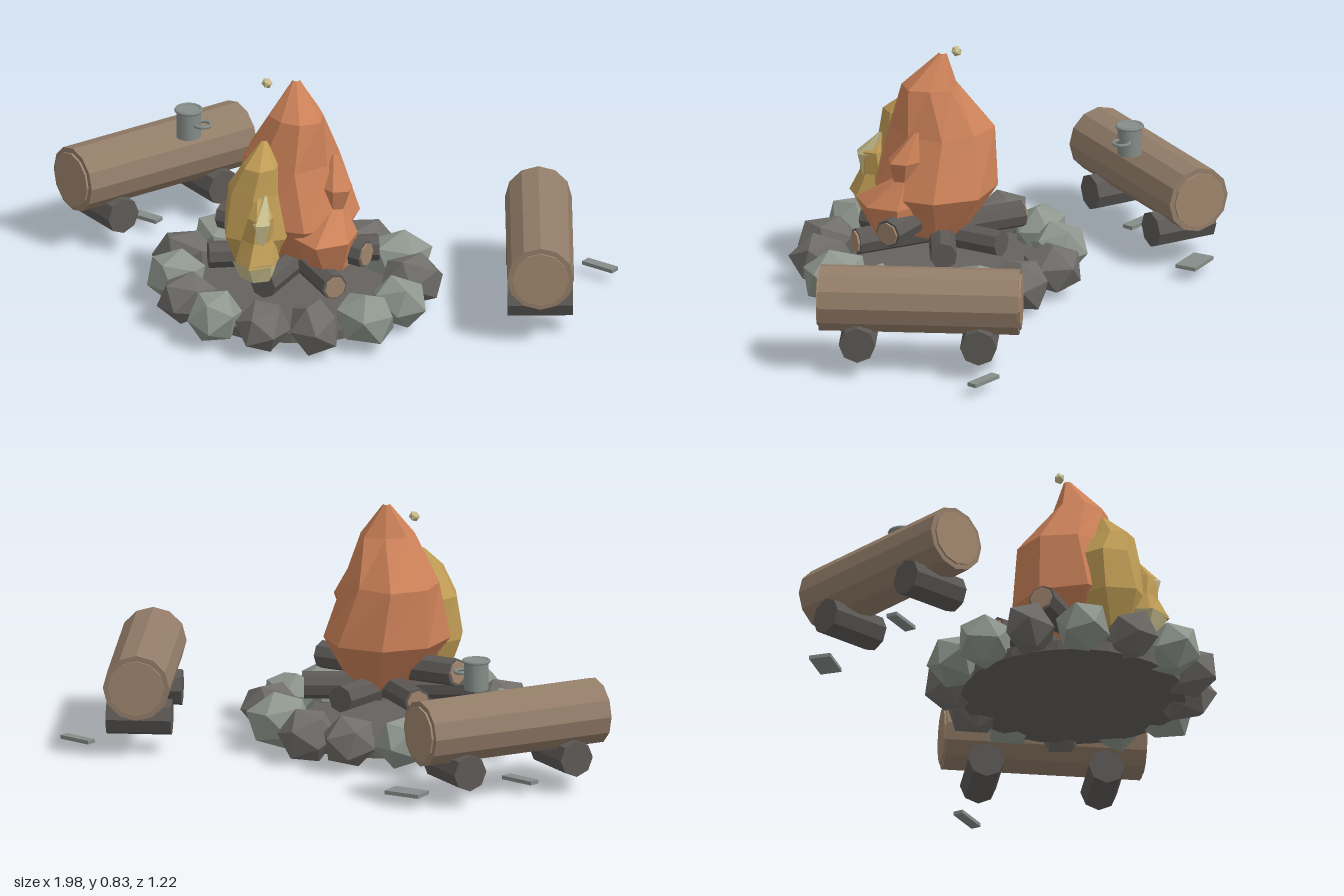
import * as THREE from 'three';

const paint = (name, hex) => {
  const m = new THREE.MeshStandardMaterial({ color: hex });
  m.name = name;
  return m;
};

// Facets a geometry so every face gets its own flat normal
function facet(geo) {
  const g = geo.index ? geo.toNonIndexed() : geo;
  g.computeVertexNormals();
  return g;
}

// Seeded pseudo-random numbers in -1..1
function seeded(seed) {
  return () => {
    seed = (seed * 16807) % 2147483647;
    return (seed / 2147483647) * 2 - 1;
  };
}

// Flame body from rings [y, centreX, centreZ, radius], bottom to top
function flameGeometry(rings, sides, wobble, seed) {
  const rnd = seeded(seed), pos = [], index = [];
  const [y0, x0, z0] = rings[0];
  const [y1, x1, z1] = rings[rings.length - 1];
  const all = [[y0, x0, z0, 0], ...rings, [y1, x1, z1, 0]];
  all.forEach(([y, cx, cz, r]) => {
    for (let j = 0; j < sides; j++) {
      const t = (j + 0.3) / sides * Math.PI * 2, k = r * (1 + wobble * rnd());
      pos.push(cx + k * Math.cos(t), y, cz + k * Math.sin(t));
    }
  });
  for (let i = 0; i < all.length - 1; i++) {
    for (let j = 0; j < sides; j++) {
      const a = i * sides + j, b = i * sides + (j + 1) % sides;
      const c = a + sides, d = b + sides;
      if (i < all.length - 2) index.push(a, c, b);
      if (i > 0) index.push(b, c, d);
      else index.push(b, c, d);
    }
  }
  const g = new THREE.BufferGeometry();
  g.setAttribute('position', new THREE.Float32BufferAttribute(pos, 3));
  g.setIndex(index);
  return facet(g);
}

export function createModel() {
  const model = new THREE.Group();
  model.name = 'campfire';

  const stoneLight = paint('light stone', 0x8f978f);
  const stoneDark = paint('dark stone', 0x706e6a);
  const ash = paint('ash', 0x65625f);
  const charred = paint('charred wood', 0x5c5956);
  const bark = paint('bark', 0x937d69);
  const cutWood = paint('cut wood', 0xa0866e);
  const orange = paint('orange flame', 0xcd8259);
  const yellow = paint('yellow flame', 0xc09d55);
  const pale = paint('pale flame', 0xc9bf8e);
  const metal = paint('metal', 0x858d89);

  const add = (name, geo, mat, parent = model) => {
    const m = new THREE.Mesh(geo, mat);
    m.name = name;
    parent.add(m);
    return m;
  };

  // Log between two points, with optional thin cut faces
  function log(name, a, b, radius, sides, mat, capRadius = 0, parent = model) {
    const p = new THREE.Vector3(...a), q = new THREE.Vector3(...b);
    const len = p.distanceTo(q);
    const group = new THREE.Group();
    group.name = name;
    group.position.copy(p).lerp(q, 0.5);
    group.quaternion.setFromUnitVectors(new THREE.Vector3(0, 1, 0), q.sub(p).normalize());
    parent.add(group);
    add(name + 'Body', facet(new THREE.CylinderGeometry(radius, radius, len, sides)), mat, group);
    if (capRadius) {
      for (const s of [-1, 1]) {
        const cap = facet(new THREE.CylinderGeometry(capRadius, capRadius, 0.008, sides));
        add(name + 'CutFace', cap, cutWood, group).position.y = s * (len / 2 + 0.003);
      }
    }
    return group;
  }

  // Ash bed
  const bed = add('ashBed', facet(new THREE.CylinderGeometry(0.38, 0.38, 0.035, 28)), ash);
  bed.position.set(0, 0.053, 0.11);

  // Ring of stones
  const rnd = seeded(77);
  const darkStones = [2, 3, 5, 7, 10, 11, 13];
  for (let i = 0; i < 14; i++) {
    const t = i / 14 * Math.PI * 2;
    const isDark = darkStones.includes(i);
    const g = new THREE.IcosahedronGeometry(1, 0);
    g.rotateX(rnd() * 3).rotateZ(rnd() * 3);
    g.scale(0.115 + 0.012 * rnd(), 0.095 + 0.008 * rnd(), 0.094 + 0.008 * rnd());
    const stone = add('ringStone', facet(g), isDark ? stoneDark : stoneLight);
    const r = 0.4 + 0.012 * rnd();
    stone.position.set(r * Math.cos(t) - 0.01, 0.1 + 0.008 * rnd(), 0.11 + r * Math.sin(t));
    stone.rotation.y = -t;
  }

  // Crossed firewood
  log('topFirewood', [-0.28, 0.28, 0.1], [0.28, 0.26, 0.13], 0.048, 8, charred, 0.04);
  log('leftFirewood', [0.24, 0.19, 0.28], [-0.24, 0.21, -0.08], 0.046, 8, charred, 0.038);
  log('rightFirewood', [-0.25, 0.2, 0.26], [0.23, 0.2, -0.06], 0.046, 8, charred);
  log('backFirewood', [0.02, 0.2, -0.16], [0.02, 0.19, 0.38], 0.046, 8, charred);

  // Flames
  add('mainFlame', flameGeometry([
    [0.2, 0.02, 0.1, 0.1], [0.36, 0.02, 0.11, 0.215], [0.56, -0.02, 0.1, 0.17],
    [0.72, 0.02, 0.125, 0.095], [0.83, -0.005, 0.09, 0.012],
  ], 8, 0.1, 11), orange);
  add('sideFlame', flameGeometry([
    [0.22, 0.17, 0.18, 0.07], [0.33, 0.16, 0.19, 0.12], [0.42, 0.17, 0.14, 0.035],
    [0.49, 0.175, 0.135, 0.058], [0.59, 0.145, 0.1, 0.008],
  ], 6, 0.12, 23), orange);
  add('yellowFlame', flameGeometry([
    [0.22, -0.06, 0.28, 0.07], [0.34, -0.06, 0.27, 0.12], [0.49, -0.07, 0.26, 0.1],
    [0.58, -0.045, 0.27, 0.065], [0.655, -0.05, 0.235, 0.008],
  ], 7, 0.1, 37), yellow);
  add('paleFlame', flameGeometry([
    [0.21, -0.01, 0.36, 0.055], [0.28, -0.015, 0.37, 0.085],
  ], 6, 0.08, 41), pale);
  add('frontFlame', flameGeometry([
    [0.27, -0.015, 0.365, 0.082], [0.35, -0.01, 0.355, 0.055], [0.43, 0, 0.36, 0.048],
    [0.49, -0.02, 0.34, 0.008],
  ], 6, 0.12, 53), yellow);
  add('flameLick', flameGeometry([
    [0.34, 0.01, 0.38, 0.02], [0.42, 0.015, 0.38, 0.038], [0.5, 0.005, 0.33, 0.004],
  ], 5, 0.1, 61), pale);
  add('spark', facet(new THREE.IcosahedronGeometry(0.019, 0)), pale).position.set(-0.11, 0.8, 0.1);

  // Two bench logs, each on a pair of short cross logs
  for (const s of [-1, 1]) {
    const bench = new THREE.Group();
    bench.name = s > 0 ? 'leftBench' : 'rightBench';
    bench.position.set(s * 0.73, 0, -0.277);
    bench.rotation.y = s * 0.49;
    model.add(bench);
    log('seatLog', [0, 0.25, -0.338], [0, 0.25, 0.338], 0.113, 12, bark, 0.095, bench);
    for (const z of [-0.205, 0.205]) {
      log('supportLog', [-0.11, 0.12, z], [0.11, 0.12, z], 0.062, 8, charred, 0, bench);
    }
  }

  // Metal mug beside the seat
  const mug = new THREE.Group();
  mug.name = 'mug';
  mug.position.set(-0.605, 0, -0.28);
  model.add(mug);
  add('mugBody', new THREE.CylinderGeometry(0.042, 0.042, 0.1, 14), metal, mug).position.y = 0.398;
  const rim = add('mugRim', new THREE.TorusGeometry(0.043, 0.006, 6, 16), metal, mug);
  rim.rotation.x = Math.PI / 2;
  rim.position.y = 0.446;
  const handle = add('mugHandle', new THREE.TorusGeometry(0.028, 0.006, 6, 14), metal, mug);
  handle.rotation.x = Math.PI / 2;
  handle.position.set(0.053, 0.402, 0);

  // Flat wood chips: x, z, width, depth, turn
  for (const [x, z, w, d, turn] of [
    [0.805, -0.577, 0.125, 0.035, -0.15],
    [-0.525, -0.587, 0.13, 0.075, 0.06],
    [-0.75, -0.23, 0.13, 0.04, -0.15],
  ]) {
    const chip = add('woodChip', new THREE.BoxGeometry(w, 0.013, d), metal);
    chip.position.set(x, 0.043, z);
    chip.rotation.y = turn;
  }

  return model;
}
